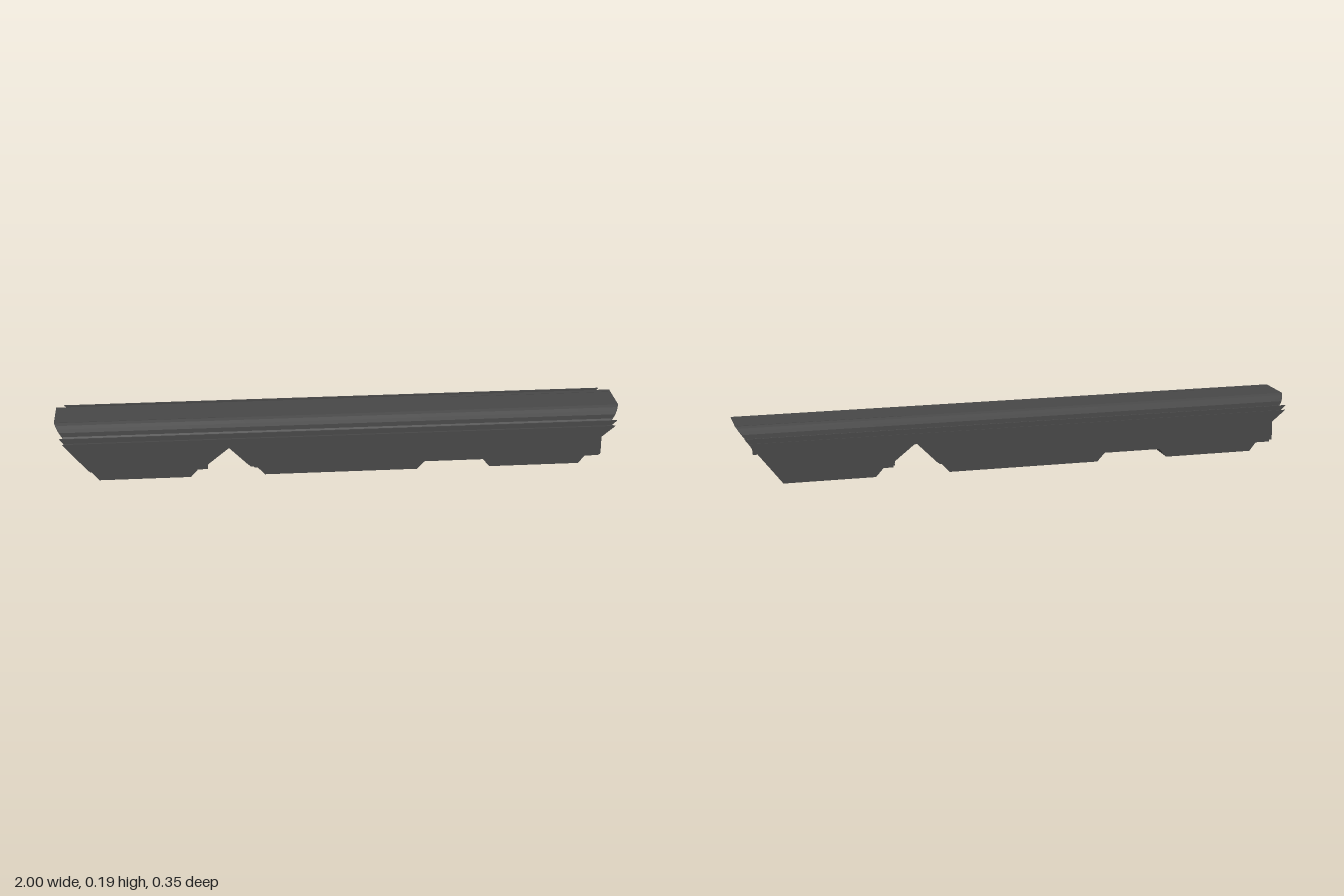
import * as THREE from 'three';

const TOP = 0.193;
// half of the hull cross-section: [half width, height], bottom to top
const SECTION = [[0.14, 0], [0.14, 0.135], [0.126, 0.147], [0.113, 0.157], [0.112, 0.172], [0.098, 0.18], [0.085, 0.188], [0.072, TOP]];
// underside line along the length: [x, height]
const KEEL = [[-1, TOP], [-0.85, 0], [-0.53, 0], [-0.42, 0.122], [-0.38, 0.122], [-0.27, 0],
  [0.27, 0], [0.38, 0.122], [0.42, 0.122], [0.53, 0], [0.85, 0], [1, TOP]];

function halfWidth(y) {
  for (let i = 1; i < SECTION.length; i++) {
    const [w0, y0] = SECTION[i - 1], [w1, y1] = SECTION[i];
    if (y <= y1) return w0 + (w1 - w0) * (y - y0) / (y1 - y0);
  }
  return SECTION[SECTION.length - 1][0];
}

// hull: the cross-section lofted along x, cut off below the underside line
function hullGeometry() {
  const stations = [];
  KEEL.forEach(([x, y], i) => {
    if (i > 0) {
      const [px, py] = KEEL[i - 1];
      const steps = py === y ? 1 : 14;
      for (let s = 1; s <= steps; s++) stations.push([px + (x - px) * s / steps, py + (y - py) * s / steps]);
    } else stations.push([x, y]);
  });
  const rings = stations.map(([x, b]) => {
    const side = SECTION.map(([, y]) => {
      const h = Math.max(y, b);
      return new THREE.Vector3(x, h, halfWidth(h));
    });
    const other = side.map((p) => new THREE.Vector3(p.x, p.y, -p.z)).reverse();
    return [...side, ...other];
  });
  const pos = [];
  const tri = (a, b, c) => {
    const area = b.clone().sub(a).cross(c.clone().sub(a)).length();
    if (area > 1e-9) [a, b, c].forEach((p) => pos.push(p.x, p.y, p.z));
  };
  for (let i = 0; i < rings.length - 1; i++) {
    const A = rings[i], B = rings[i + 1];
    for (let j = 0; j < A.length; j++) {
      const k = (j + 1) % A.length;
      tri(A[j], B[j], B[k]);
      tri(A[j], B[k], A[k]);
    }
  }
  const g = new THREE.BufferGeometry();
  g.setAttribute('position', new THREE.Float32BufferAttribute(pos, 3));
  g.computeVertexNormals();
  return g;
}

// skirt plate: slanted at one end, upright at the other, with a notch
function skirtGeometry(zIn, zOut, yb, yt) {
  const slant = (y) => (TOP - y) * 0.83;
  const s = new THREE.Shape();
  [[-1 + slant(yt), yt], [-1 + slant(yb), yb], [-0.47, yb], [-0.47, 0.062], [-0.395, 0.122], [-0.395 + (0.122 - yb), yb],
    [0.92, yb], [0.92, 0.115], [1 - slant(yt), yt]].forEach(([x, y], i) => (i ? s.lineTo(x, y) : s.moveTo(x, y)));
  s.closePath();
  const g = new THREE.ExtrudeGeometry(s, { depth: zOut - zIn, bevelEnabled: false });
  g.translate(0, 0, zIn);
  return g;
}

export function createModel() {
  const model = new THREE.Group();
  model.name = 'undercarriage';
  const grey = new THREE.MeshStandardMaterial({ color: 0x474747 });
  grey.name = 'darkGrey';
  const add = (parent, geometry, name) => {
    const mesh = new THREE.Mesh(geometry, grey);
    mesh.name = name;
    parent.add(mesh);
    return mesh;
  };

  add(model, hullGeometry(), 'hull');

  // both sides are alike, turned half a circle
  ['front', 'back'].forEach((name, i) => {
    const side = new THREE.Group();
    side.name = name + 'Side';
    side.rotation.y = i * Math.PI;
    add(side, skirtGeometry(0.136, 0.146, 0.034, 0.155), 'innerRail');
    add(side, skirtGeometry(0.146, 0.153, 0.034, 0.142), 'railGroove');
    add(side, skirtGeometry(0.153, 0.157, 0.045, 0.167), 'railFin');
    add(side, skirtGeometry(0.157, 0.174, 0.047, 0.15), 'skirt');
    add(side, skirtGeometry(0.174, 0.177, 0.055, 0.155), 'skirtPlate');
    // thin raised strip along the roof edge
    const strip = add(side, new THREE.BoxGeometry(0.58, 0.002, 0.02), 'roofStrip');
    strip.position.set(-0.7, TOP, 0.06);
    model.add(side);
  });
  return model;
}
